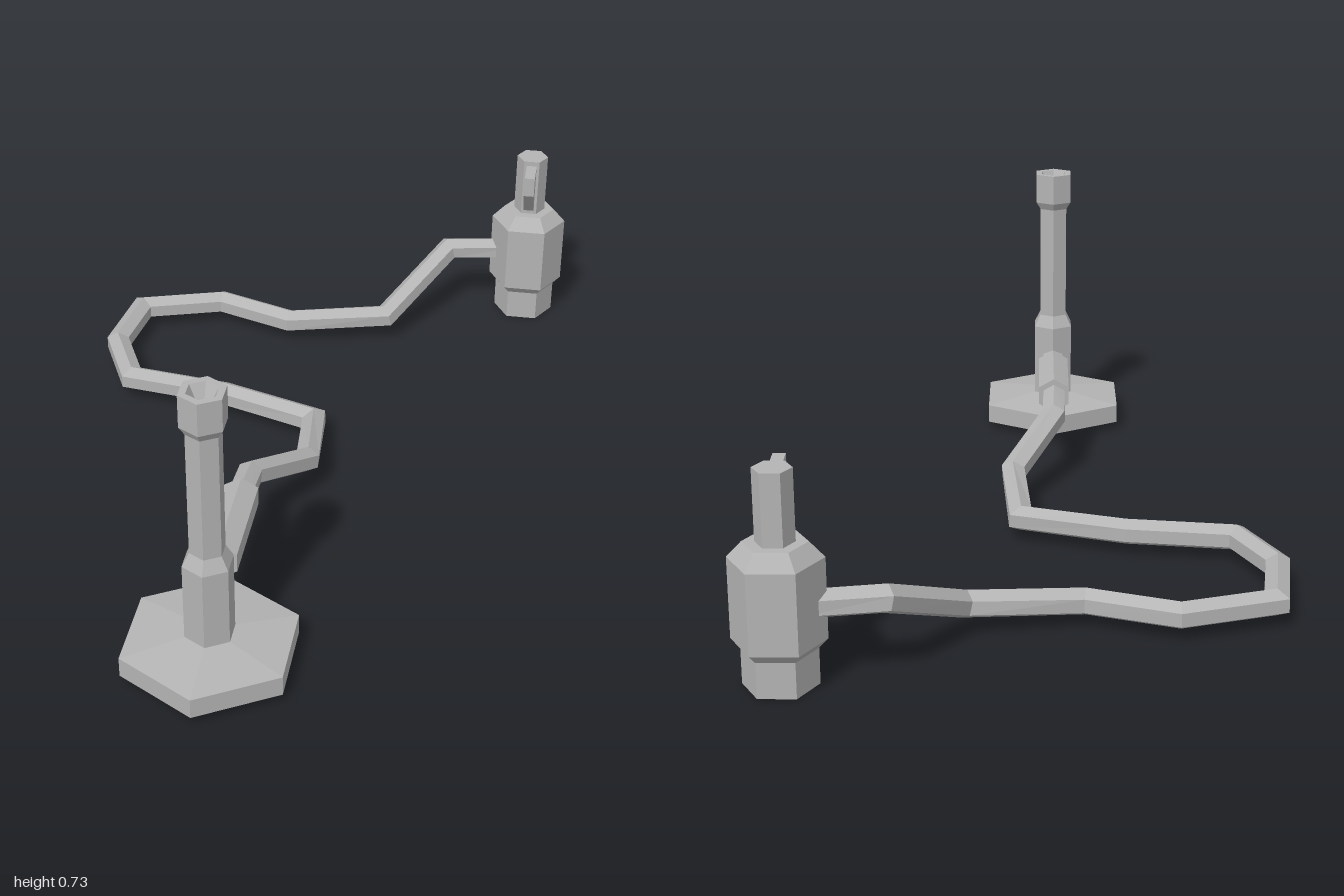
import * as THREE from 'three';

const metal = new THREE.MeshStandardMaterial({ color: 0xb4b4b4, flatShading: true });
metal.name = 'greyMetal';

function part(name, geometry) {
  const flat = geometry.index ? geometry.toNonIndexed() : geometry;
  flat.computeVertexNormals();
  const mesh = new THREE.Mesh(flat, metal);
  mesh.name = name;
  return mesh;
}

// Six-sided turned part from [radius, y] pairs, bottom to top
function hexLathe(name, profile, turn = 0) {
  const points = profile.map(([r, y]) => new THREE.Vector2(r, y));
  return part(name, new THREE.LatheGeometry(points, 6).rotateY(turn));
}

// Six-sided bar lying along z, with a corner at the top
function hexBar(name, radius, z0, z1, x, y) {
  const geometry = new THREE.CylinderGeometry(radius, radius, z1 - z0, 6);
  return part(name, geometry.rotateX(Math.PI / 2).translate(x, y, (z0 + z1) / 2));
}

// Six-sided hose with mitred bends, corner at the top
function hexHose(name, path, radius) {
  const pts = path.map((p) => new THREE.Vector3(...p));
  const positions = [];
  const index = [];
  pts.forEach((p, i) => {
    const before = p.clone().sub(pts[Math.max(i - 1, 0)]).normalize();
    const after = pts[Math.min(i + 1, pts.length - 1)].clone().sub(p).normalize();
    const tangent = before.clone().add(after).normalize();
    const side = new THREE.Vector3(0, 1, 0).cross(tangent).normalize();
    const up = tangent.clone().cross(side);
    const ends = i === 0 || i === pts.length - 1;
    const miter = ends ? 1 : 1 / tangent.dot(after);
    for (let k = 0; k < 6; k++) {
      const a = Math.PI / 2 + (k * Math.PI) / 3;
      const v = p.clone()
        .addScaledVector(side, Math.cos(a) * radius * miter)
        .addScaledVector(up, Math.sin(a) * radius);
      positions.push(v.x, v.y, v.z);
      if (i > 0) {
        const k1 = (k + 1) % 6;
        const a0 = (i - 1) * 6 + k, b0 = (i - 1) * 6 + k1;
        index.push(a0, b0, a0 + 6, b0, b0 + 6, a0 + 6);
      }
    }
  });
  const geometry = new THREE.BufferGeometry();
  geometry.setAttribute('position', new THREE.Float32BufferAttribute(positions, 3));
  geometry.setIndex(index);
  return part(name, geometry);
}

export function createModel() {
  const model = new THREE.Group();
  model.name = 'gasBurner';

  // Burner: foot, stepped column and funnel mouth
  const burner = new THREE.Group();
  burner.name = 'burner';
  burner.position.set(-0.077, 0, 0.787);
  burner.add(
    hexLathe('foot', [[0, 0.02], [0.213, 0.02], [0.213, 0.07], [0.05, 0.088], [0, 0.088]]),
    hexLathe('column', [
      [0, 0.08], [0.06, 0.08], [0.06, 0.285], [0.042, 0.318], [0.042, 0.63],
      [0.055, 0.65], [0.055, 0.73], [0.037, 0.73], [0, 0.66],
    ]),
  );
  model.add(burner);

  // Gas inlet and sleeve
  model.add(hexBar('inlet', 0.032, 0.64, 0.77, -0.077, 0.19));
  model.add(hexBar('sleeve', 0.047, 0.41, 0.67, -0.077, 0.192));

  // Winding hose from sleeve to valve
  model.add(hexHose('hose', [
    [-0.077, 0.19, 0.45], [-0.077, 0.19, 0.41], [-0.077, 0.175, 0.3],
    [0.03, 0.09, 0.1], [0.01, 0.055, -0.13], [-0.25, 0.055, -0.215],
    [-0.515, 0.055, -0.25], [-0.595, 0.055, -0.42], [-0.57, 0.055, -0.62],
    [-0.35, 0.055, -0.69], [-0.14, 0.055, -0.617], [0.13, 0.07, -0.665],
    [0.285, 0.185, -0.885], [0.46, 0.185, -0.915],
  ], 0.033));

  // Valve: body, stem and lever
  const valve = new THREE.Group();
  valve.name = 'valve';
  valve.position.set(0.508, 0, -0.911);
  valve.add(
    hexLathe('valveBody', [
      [0, 0], [0.083, 0], [0.083, 0.083], [0.103, 0.105],
      [0.103, 0.29], [0.07, 0.325], [0, 0.325],
    ], Math.PI / 6),
    hexLathe('valveStem', [[0, 0.31], [0.043, 0.31], [0.043, 0.488], [0, 0.488]], Math.PI / 6),
  );
  // Lever outline is drawn as (forward, up), then turned to face +z
  const outline = new THREE.Shape([
    [0, 0.335], [0.038, 0.335], [0.117, 0.42], [0.117, 0.475], [0, 0.475],
  ].map(([f, y]) => new THREE.Vector2(f, y)));
  const lever = new THREE.ExtrudeGeometry(outline, { depth: 0.028, bevelEnabled: false });
  valve.add(part('lever', lever.translate(0, 0, -0.014).rotateY(-Math.PI / 2)));
  model.add(valve);

  return model;
}
